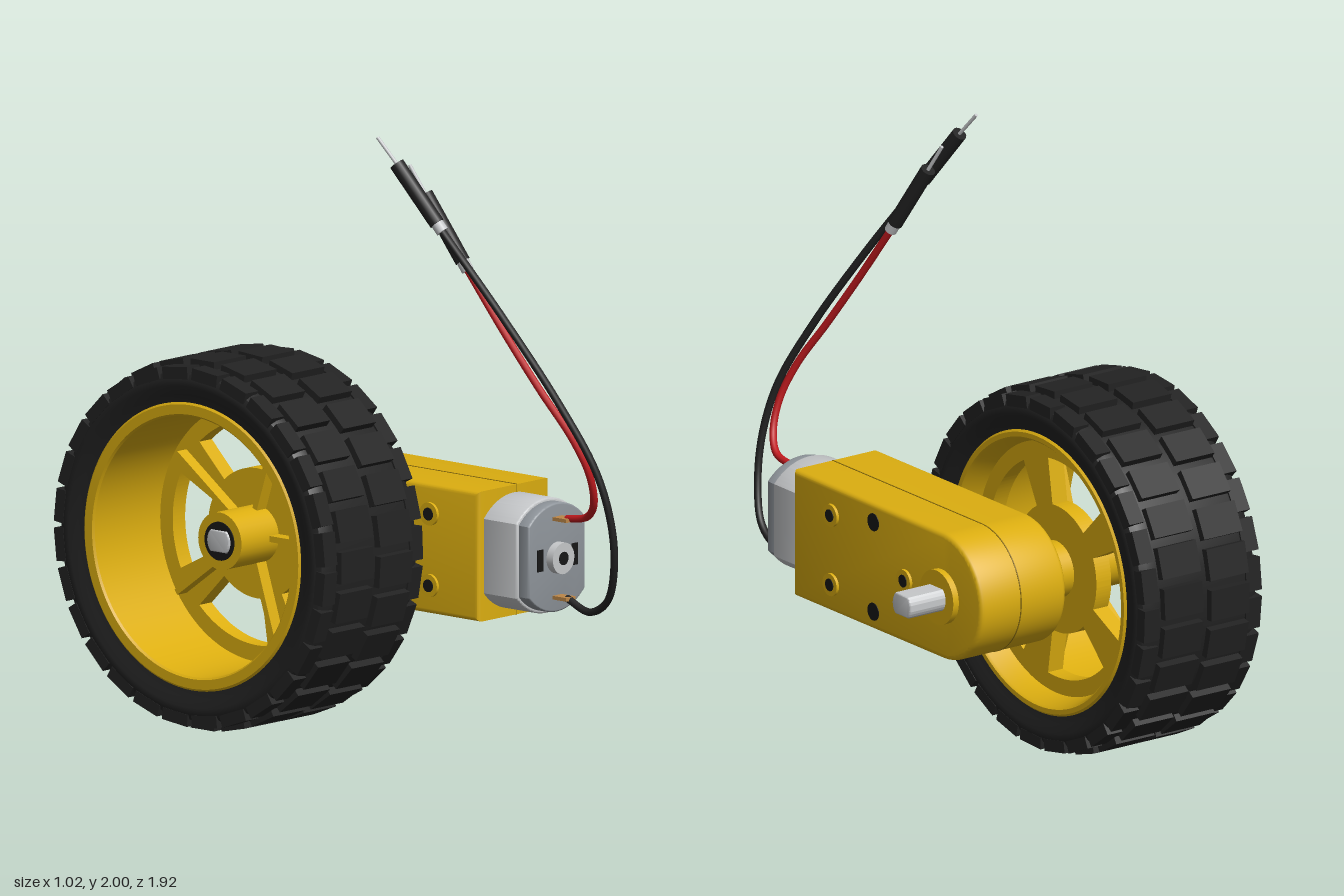
import * as THREE from 'three';
import { toCreasedNormals } from 'three/addons/utils/BufferGeometryUtils.js';

const paint = (name, color) => {
  const m = new THREE.MeshStandardMaterial({ color });
  m.name = name;
  return m;
};

export function createModel() {
  const yellow = paint('yellow plastic', 0xdcae10);
  const seamYellow = paint('seam yellow', 0x8c6f0c);
  const rubber = paint('black rubber', 0x222222);
  const dark = paint('dark hole', 0x171717);
  const silver = paint('silver metal', 0xc6c8ca);
  const grey = paint('grey cap', 0x8f959b);
  const red = paint('red wire', 0xc01a1e);
  const copper = paint('copper', 0xbd8748);

  const root = new THREE.Group();
  root.name = 'gearMotorWithWheel';
  const AY = 0.615, AZ = -0.345; // axle height and depth

  const add = (parent, name, geo, mat, x = 0, y = 0, z = 0) => {
    const m = new THREE.Mesh(geo, mat);
    m.name = name;
    m.position.set(x, y, z);
    parent.add(m);
    return m;
  };
  const group = (name, x = 0, y = 0, z = 0) => {
    const g = new THREE.Group();
    g.name = name;
    g.position.set(x, y, z);
    root.add(g);
    return g;
  };
  // Extrude from z = 0 to depth, with the bevel kept inside the outline
  const extrude = (shape, depth, bevel = 0) => {
    const g = new THREE.ExtrudeGeometry(shape, {
      depth: depth - 2 * bevel, curveSegments: 32, bevelEnabled: bevel > 0,
      bevelSize: bevel, bevelThickness: bevel, bevelOffset: -bevel, bevelSegments: 3,
    });
    g.translate(0, 0, bevel);
    return toCreasedNormals(g, 0.6);
  };
  // Same, but running along +x; the shape's first axis points to -z
  const extrudeX = (...a) => extrude(...a).rotateY(Math.PI / 2);
  const cylX = (r, len, seg = 32) => new THREE.CylinderGeometry(r, r, len, seg).rotateZ(-Math.PI / 2);
  const cylZ = (r, len, seg = 32) => new THREE.CylinderGeometry(r, r, len, seg).rotateX(Math.PI / 2);
  // Ring-shaped lathe about the x axis from [radius, x] points
  const latheX = (pts) => toCreasedNormals(
    new THREE.LatheGeometry(pts.map(p => new THREE.Vector2(...p)), 96), 0.6).rotateZ(-Math.PI / 2);
  // Circle with flats at top and bottom
  const flatRound = (r, h) => {
    const a = Math.asin(h / r), s = new THREE.Shape();
    s.absarc(0, 0, r, -a, a, false);
    s.absarc(0, 0, r, Math.PI - a, Math.PI + a, false);
    s.closePath();
    return s;
  };

  // ---- Wheel ----
  const wheel = group('wheel', 0, AY, AZ);
  add(wheel, 'tyre', latheX([
    [0.47, -0.49], [0.50, -0.495], [0.53, -0.507], [0.55, -0.507], [0.57, -0.497], [0.582, -0.475],
    [0.587, -0.44], [0.587, -0.10], [0.582, -0.065], [0.57, -0.043], [0.55, -0.033],
    [0.53, -0.033], [0.50, -0.045], [0.47, -0.05], [0.47, -0.49],
  ]), rubber);
  // Tread: two staggered block rows and lower shoulder blocks
  const rows = [
    { name: 'treadBlockOuter', x: -0.368, w: 0.155, r: 0.61, len: 0.104, phase: 0 },
    { name: 'treadBlockInner', x: -0.18, w: 0.155, r: 0.61, len: 0.104, phase: 0.3 },
    { name: 'shoulderBlockOuter', x: -0.477, w: 0.06, r: 0.592, len: 0.11, phase: 0.5 },
    { name: 'shoulderBlockInner', x: -0.063, w: 0.06, r: 0.592, len: 0.11, phase: 0.8 },
  ];
  const COUNT = 28;
  for (const { name, x, w, r, len, phase } of rows) {
    const block = new THREE.BoxGeometry(w, 0.04, len).translate(x, r - 0.02, 0);
    for (let i = 0; i < COUNT; i++)
      add(wheel, name, block, rubber).rotation.x = (i + phase) / COUNT * Math.PI * 2;
  }
  add(wheel, 'rim', latheX([
    [0.43, -0.49], [0.436, -0.497], [0.468, -0.497], [0.476, -0.49], [0.476, -0.05], [0.468, -0.042],
    [0.452, -0.042], [0.445, -0.05], [0.425, -0.12], [0.425, -0.18], [0.43, -0.49],
  ]), yellow);
  // Five-spoke disc
  const disc = new THREE.Shape().absarc(0, 0, 0.435, 0, Math.PI * 2, false);
  for (let i = 0; i < 5; i++) {
    const c = i * Math.PI * 2 / 5, a = 0.44, b = 0.42;
    const hole = new THREE.Path();
    hole.absarc(0, 0, 0.37, c - a, c + a, false);
    hole.absarc(0, 0, 0.215, c + b, c - b, true);
    hole.closePath();
    disc.holes.push(hole);
  }
  add(wheel, 'spokes', extrudeX(disc, 0.06), yellow, -0.18);
  for (let i = 0; i < 5; i++) { // stiffening rib on each spoke
    const rib = add(wheel, 'spokeRib', new THREE.BoxGeometry(0.05, 0.02, 0.3).translate(0, 0, 0.24), yellow, -0.2);
    rib.rotation.x = i * Math.PI * 2 / 5;
  }
  add(wheel, 'hub', cylX(0.095, 0.33), yellow, -0.195);
  add(wheel, 'hubSocket', cylX(0.064, 0.006), dark, -0.361);

  // ---- Axle ----
  add(root, 'axle', extrudeX(flatRound(0.05, 0.036), 0.88, 0.006), silver, -0.37, AY, AZ);

  // ---- Gearbox ----
  const box = group('gearbox', 0, AY, AZ);
  const outline = (r) => {
    const s = new THREE.Shape();
    s.moveTo(-0.805, -r);
    s.lineTo(0, -r);
    s.absarc(0, 0, r, -Math.PI / 2, Math.PI / 2, false);
    s.lineTo(-0.805, r);
    s.closePath();
    return s;
  };
  add(box, 'gearboxShell', extrudeX(outline(0.215), 0.345, 0.016), yellow);
  add(box, 'shellSeam', extrudeX(outline(0.2165), 0.004), seamYellow, 0.183);
  add(box, 'axleBoss', cylX(0.092, 0.395), yellow, 0.17);
  for (const [side, x] of [[-1, 0], [1, 0.345]]) {
    // Screw bosses with dark centres
    for (const [y, z] of [[0.117, 0.595], [-0.12, 0.595], [0, 0.198]]) {
      add(box, 'screwBoss', cylX(0.038, 0.02, 24), yellow, x, y, z);
      add(box, 'screwHole', cylX(0.021, 0.004, 20), dark, x + side * 0.0105, y, z);
    }
    // Mounting holes
    for (const y of [0.153, -0.153])
      add(box, 'mountingHole', cylX(0.03, 0.005, 24), dark, x, y, 0.37);
  }

  // ---- Motor ----
  const motor = group('motor', 0.172, AY, 0);
  add(motor, 'motorCan', extrude(flatRound(0.19, 0.145), 0.16, 0.006).rotateZ(Math.PI / 2), silver, 0, 0, 0.445);
  add(motor, 'motorCap', extrude(flatRound(0.18, 0.136), 0.05, 0.006).rotateZ(Math.PI / 2), grey, 0, 0, 0.6);
  add(motor, 'bearing', cylZ(0.052, 0.03), silver, 0, 0, 0.663);
  add(motor, 'bearingHole', cylZ(0.022, 0.004), dark, 0, 0, 0.678);
  for (const s of [-1, 1]) {
    add(motor, 'brushSlot', new THREE.BoxGeometry(0.028, 0.072, 0.006), dark, s * 0.083, 0, 0.65);
    add(motor, 'terminal', new THREE.BoxGeometry(0.045, 0.012, 0.06), copper, 0, s * 0.13, 0.68);
  }

  // ---- Wires with plug ends ----
  const V = (p) => new THREE.Vector3(...p);
  const rod = (name, a, b, r, mat) => {
    const d = b.clone().sub(a);
    const m = add(root, name, new THREE.CylinderGeometry(r, r, d.length(), 16), mat);
    m.position.copy(a).addScaledVector(d, 0.5);
    m.quaternion.setFromUnitVectors(new THREE.Vector3(0, 1, 0), d.normalize());
  };
  const wire = (colour, mat, points, plugEnd, pinEnd) => {
    const pts = points.map(V), base = pts[pts.length - 1], end = V(plugEnd);
    add(root, colour + 'Wire', new THREE.TubeGeometry(new THREE.CatmullRomCurve3(pts), 80, 0.0125, 10), mat);
    const collar = base.clone().lerp(end, 0.12);
    rod(colour + 'WireCollar', base, collar, 0.021, silver);
    rod(colour + 'WirePlug', collar, end, 0.025, rubber);
    rod(colour + 'WirePin', end, V(pinEnd), 0.006, silver);
  };
  wire('red', red, [
    [0.175, 0.747, 0.69], [0.172, 0.765, 0.78], [0.145, 0.82, 0.835], [0.11, 0.92, 0.848],
    [0.07, 1.04, 0.81], [0.02, 1.2, 0.71], [-0.02, 1.38, 0.59], [-0.05, 1.57, 0.46],
  ], [-0.09, 1.81, 0.31], [-0.105, 1.9, 0.255]);
  wire('black', rubber, [
    [0.175, 0.485, 0.69], [0.172, 0.452, 0.79], [0.16, 0.5, 0.88], [0.13, 0.63, 0.938],
    [0.105, 0.78, 0.945], [0.07, 0.95, 0.91], [0.01, 1.17, 0.8], [-0.07, 1.44, 0.63], [-0.15, 1.71, 0.44],
  ], [-0.195, 1.92, 0.28], [-0.21, 2.0, 0.21]);

  return root;
}
